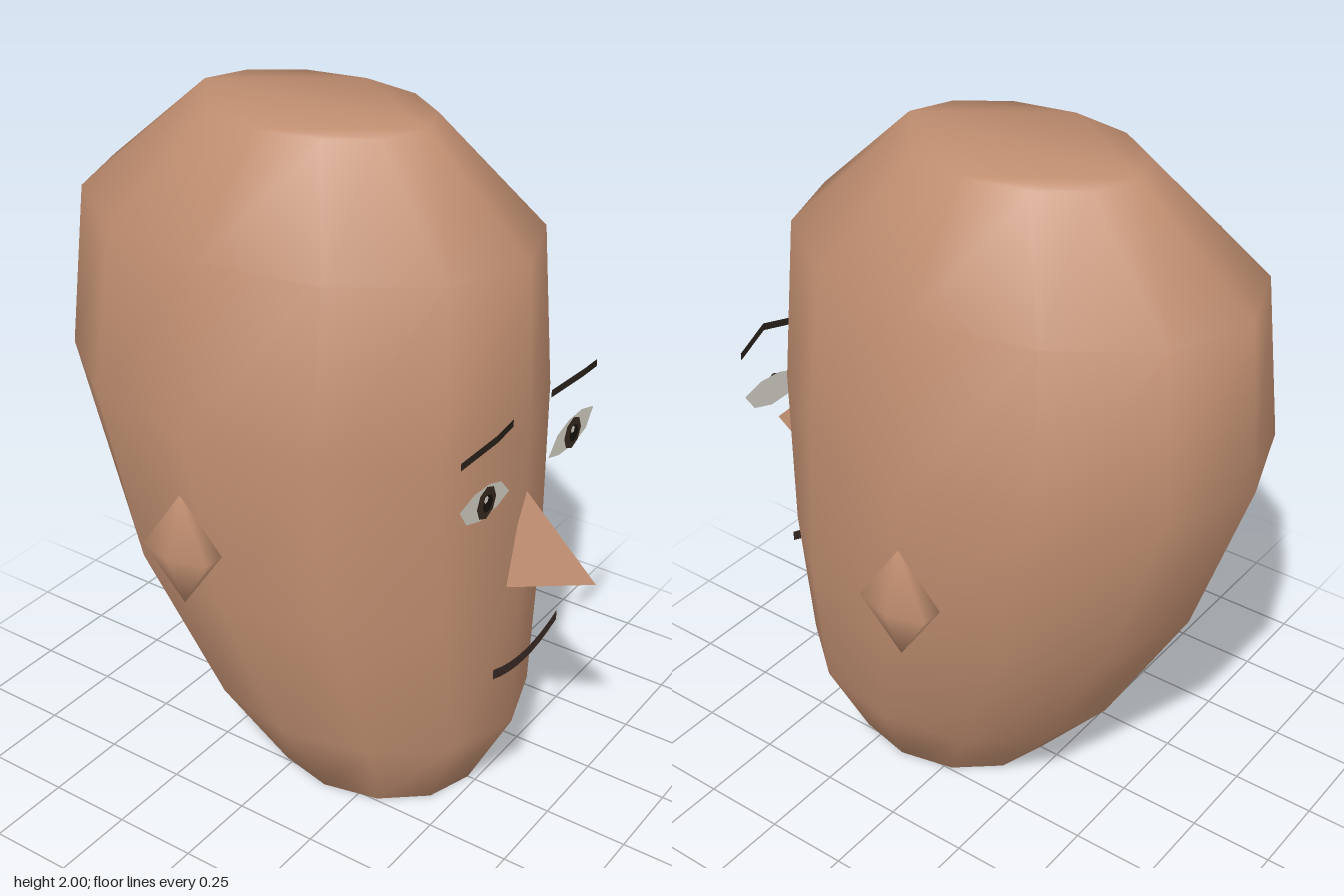
import * as THREE from 'three';

const material = (name, color, side = THREE.FrontSide) => {
  const m = new THREE.MeshStandardMaterial({ color, side });
  m.name = name;
  return m;
};

function buildGeometry(positions, index) {
  const g = new THREE.BufferGeometry();
  g.setAttribute('position', new THREE.Float32BufferAttribute(positions, 3));
  if (index) g.setIndex(index);
  g.computeVertexNormals();
  return g;
}

// Smooth closed loft through twelve-sided elliptical rings
function headGeometry() {
  const rings = [ // y, half width, front z, back z
    [0, 0.28, 0.475, -0.19],
    [0.27, 0.42, 0.612, -0.42],
    [0.73, 0.54, 0.617, -0.68],
    [1.23, 0.56, 0.62, -0.845],
    [1.71, 0.49, 0.592, -0.8],
    [2, 0.255, 0.275, -0.45],
  ];
  const n = 12, pos = [], idx = [];
  for (const [y, rx, front, back] of rings) {
    for (let i = 0; i < n; i++) {
      const a = (i / n) * Math.PI * 2;
      pos.push(rx * Math.sin(a), y, (front + back) / 2 + (front - back) / 2 * Math.cos(a));
    }
  }
  for (let r = 0; r < rings.length - 1; r++) {
    for (let i = 0; i < n; i++) {
      const a = r * n + i, b = r * n + (i + 1) % n;
      idx.push(a, b, b + n, a, b + n, a + n);
    }
  }
  // Flat caps: a central square and four corner slivers
  const cap = [[0, 3, 6], [0, 6, 9]];
  for (let q = 0; q < n; q += 3) cap.push([q, q + 1, q + 2], [q, q + 2, (q + 3) % n]);
  const top = (rings.length - 1) * n;
  for (const [a, b, c] of cap) idx.push(top + a, top + b, top + c, a, c, b);
  return buildGeometry(pos, idx);
}

// Faceted nose pyramid
function noseGeometry() {
  const bridge = [0, 1.06, 0.61], tip = [0, 0.835, 0.845];
  const l = [0.07, 0.775, 0.61], r = [-0.07, 0.775, 0.61];
  return buildGeometry([bridge, tip, l, bridge, r, tip, tip, r, l, bridge, l, r].flat());
}

// Ribbon of constant height along a path
function ribbonGeometry(points, height) {
  const pos = [], idx = [];
  points.forEach(([x, y, z], i) => {
    pos.push(x, y - height / 2, z, x, y + height / 2, z);
    if (i) {
      const k = i * 2;
      idx.push(k - 2, k, k + 1, k - 2, k + 1, k - 1);
    }
  });
  return buildGeometry(pos, idx);
}

export function createModel() {
  const group = new THREE.Group();
  group.name = 'head';
  const skin = material('skin', 0xc08e70);
  const white = material('eyeWhite', 0xd8d5ca, THREE.DoubleSide);
  const iris = material('iris', 0x3a2b20, THREE.DoubleSide);
  const pupil = material('pupil', 0x17120f, THREE.DoubleSide);
  const brow = material('brow', 0x2b221b, THREE.DoubleSide);
  const lip = material('mouth', 0x3a2b24, THREE.DoubleSide);

  const add = (name, geometry, mat, x = 0, y = 0, z = 0) => {
    const mesh = new THREE.Mesh(geometry, mat);
    mesh.name = name;
    mesh.position.set(x, y, z);
    group.add(mesh);
    return mesh;
  };

  add('skull', headGeometry(), skin);
  add('nose', noseGeometry(), skin);

  // Mouth: shallow upward curve
  const smile = [];
  for (let i = 0; i <= 8; i++) {
    const t = i / 4 - 1;
    smile.push([t * 0.178, 0.522 + 0.036 * t * t, 0.643]);
  }
  add('mouth', ribbonGeometry(smile, 0.032), lip);

  for (const [label, s] of [['left', 1], ['right', -1]]) {
    // Ear: six-sided double cone
    const ear = new THREE.SphereGeometry(1, 6, 2);
    ear.scale(0.066, 0.172, 0.128);
    add(label + 'Ear', ear, skin, s * 0.573, 0.892, -0.118);

    // Eye: slanted almond with layered iris, pupil and glint
    const almond = [[0.105, 1.105], [0.15, 1.155], [0.21, 1.175], [0.285, 1.178],
      [0.355, 1.158], [0.32, 1.105], [0.25, 1.083], [0.165, 1.087]];
    const outline = new THREE.Shape(almond.map(([x, y]) => new THREE.Vector2(s * x, y)));
    add(label + 'EyeWhite', new THREE.ShapeGeometry(outline), white, 0, 0, 0.622);
    add(label + 'Iris', new THREE.CircleGeometry(0.048, 8), iris, s * 0.23, 1.13, 0.627);
    add(label + 'Pupil', new THREE.CircleGeometry(0.026, 8), pupil, s * 0.23, 1.13, 0.631);
    add(label + 'Glint', new THREE.CircleGeometry(0.011, 6), white, s * 0.23 - 0.016, 1.15, 0.635);

    // Brow: bent strip
    const arch = [[0.1, 1.305, 0.622], [0.23, 1.325, 0.65], [0.357, 1.293, 0.622]]
      .map(([x, y, z]) => [s * x, y, z]);
    if (s < 0) arch.reverse();
    add(label + 'Brow', ribbonGeometry(arch, 0.022), brow);
  }
  return group;
}
